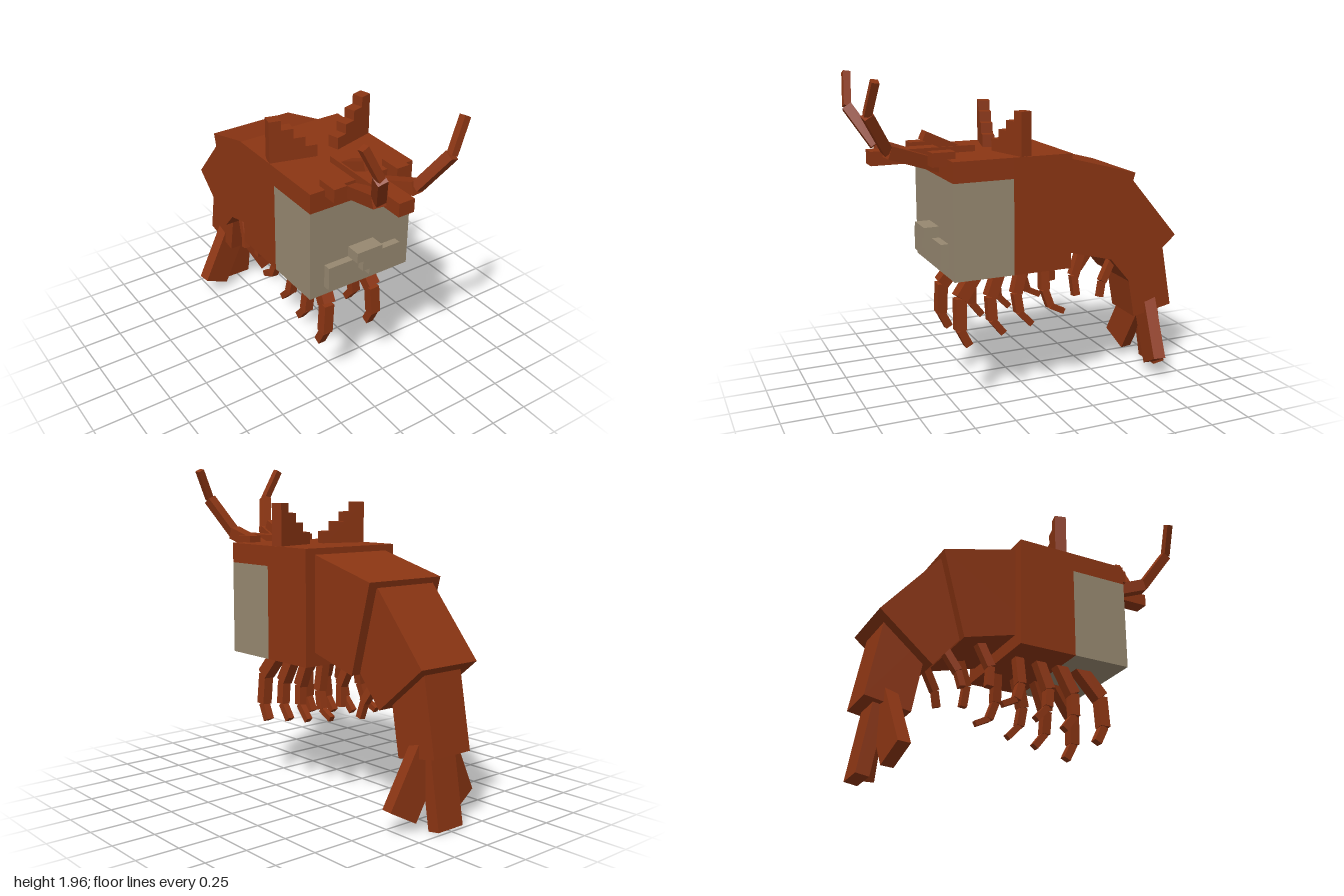
import * as THREE from 'three';

const shell = new THREE.MeshStandardMaterial({ color: 0x8b3513, flatShading: true });
const tan = new THREE.MeshStandardMaterial({ color: 0x978870, flatShading: true });

export function createModel() {
  const model = new THREE.Group();

  function add(name, geometry, material = shell) {
    const mesh = new THREE.Mesh(geometry, material);
    mesh.name = name;
    model.add(mesh);
    return mesh;
  }

  // Axis-aligned box from its lower and upper corners
  function block(name, [x0, y0, z0], [x1, y1, z1], material) {
    const mesh = add(name, new THREE.BoxGeometry(x1 - x0, y1 - y0, z1 - z0), material);
    mesh.position.set((x0 + x1) / 2, (y0 + y1) / 2, (z0 + z1) / 2);
    return mesh;
  }

  // Box running from point a to point b; its width lies along the side vector
  function beam(name, a, b, width, depth, side = [1, 0, 0]) {
    const from = new THREE.Vector3(...a), to = new THREE.Vector3(...b);
    const y = from.clone().sub(to);
    const mesh = add(name, new THREE.BoxGeometry(width, y.length(), depth));
    y.normalize();
    const z = new THREE.Vector3(...side).cross(y).normalize();
    const x = y.clone().cross(z);
    mesh.quaternion.setFromRotationMatrix(new THREE.Matrix4().makeBasis(x, y, z));
    mesh.position.copy(from).add(to).multiplyScalar(0.5);
    return mesh;
  }

  // Head and carapace
  block('carapace', [-0.34, 0.82, -0.17], [0.34, 1.5, 0.19]);
  block('headCap', [-0.34, 1.38, 0.19], [0.34, 1.5, 0.55]);
  block('face', [-0.34, 0.82, 0.19], [0.34, 1.38, 0.55], tan);

  // Nose
  block('noseTop', [-0.085, 1.02, 0.54], [0.085, 1.085, 0.64], tan);
  block('noseBottom', [-0.045, 0.955, 0.54], [0.045, 1.02, 0.64], tan);

  // Curving abdomen and tail
  beam('abdomenFront', [0, 1.207, -0.075], [0, 1.078, -0.558], 0.545, 0.545);
  beam('abdomenRear', [0, 1.174, -0.467], [0, 0.774, -0.805], 0.425, 0.418);
  beam('tail', [0, 0.89, -0.771], [0, 0.4, -0.861], 0.28, 0.272);
  beam('tailFinMiddle', [0, 0.45, -0.883], [0, 0.006, -0.957], 0.19, 0.077);

  // Beak over the head
  block('beak', [-0.05, 1.457, 0.31], [0.05, 1.537, 0.925]);
  beam('beakRidge', [0, 1.475, 0.33], [0, 1.605, 0.61], 0.08, 0.055);

  // Leg joints as [y, z], front to back, with the thickness of the upper part
  const legs = [
    { w: 0.078, joints: [[0.86, 0.31], [0.665, 0.46], [0.475, 0.465], [0.375, 0.415]] },
    { w: 0.068, joints: [[0.86, 0.18], [0.65, 0.27], [0.51, 0.265], [0.42, 0.195]] },
    { w: 0.062, joints: [[0.86, 0.043], [0.65, 0.105], [0.535, 0.09], [0.45, 0.01]] },
    { w: 0.055, joints: [[0.86, -0.086], [0.65, -0.08], [0.545, -0.115], [0.5, -0.205]] },
    { w: 0.052, joints: [[0.9, -0.35], [0.715, -0.275], [0.59, -0.288]] },
    { w: 0.046, joints: [[0.81, -0.57], [0.65, -0.475], [0.557, -0.453]] },
  ];
  const legX = [0.135, 0.163, 0.176, 0.178];

  // Paired parts
  for (const s of [1, -1]) {
    const label = s > 0 ? 'left' : 'right';

    const cheek = block(label + 'Cheek', [0.035, 0.875, 0.54], [0.245, 1.02, 0.595], tan);
    cheek.position.x *= s;
    const eye = block(label + 'Eye', [0.165, 1.46, 0.5], [0.247, 1.54, 0.635]);
    eye.position.x *= s;

    // Antenna in three joints
    const path = [[0.05, 1.41, 0.46], [0.125, 1.545, 0.85], [0.225, 1.76, 0.98], [0.315, 1.945, 0.955]];
    [0.075, 0.058, 0.042].forEach((w, i) => {
      const [a, b] = [path[i], path[i + 1]].map(([x, y, z]) => [x * s, y, z]);
      beam(label + 'Antenna' + (i + 1), a, b, w, w);
    });

    // Stepped crest, rising outward
    const crest = new THREE.Shape();
    crest.moveTo(0, -0.02);
    for (let i = 0; i < 4; i++) {
      const top = 0.073 + i * 0.059;
      crest.lineTo(s * i * 0.07, top);
      crest.lineTo(s * (i + 1) * 0.07, top);
    }
    crest.lineTo(s * 0.28, -0.02);
    const crestGeometry = new THREE.ExtrudeGeometry(crest, { depth: 0.07, bevelEnabled: false });
    crestGeometry.translate(0, 0, -0.035);
    const crestMesh = add(label + 'Crest', crestGeometry);
    crestMesh.position.set(s * 0.06, 1.5, 0.183);
    crestMesh.rotation.y = s * 0.26;

    // Splayed tail fin
    beam(label + 'TailFin', [s * 0.025, 0.49, -0.86], [s * 0.235, 0.093, -0.835],
      0.19, 0.077, [1, 0, s * 0.15]);

    // Legs
    legs.forEach(({ w, joints }, n) => {
      for (let i = 0; i < joints.length - 1; i++) {
        const thick = w * [1, 0.83, 0.62][i];
        const [a, b] = [i, i + 1].map((k) => [s * legX[k], ...joints[k]]);
        beam(`${label}Leg${n + 1}Part${i + 1}`, a, b, thick, thick);
      }
    });
  }

  return model;
}
